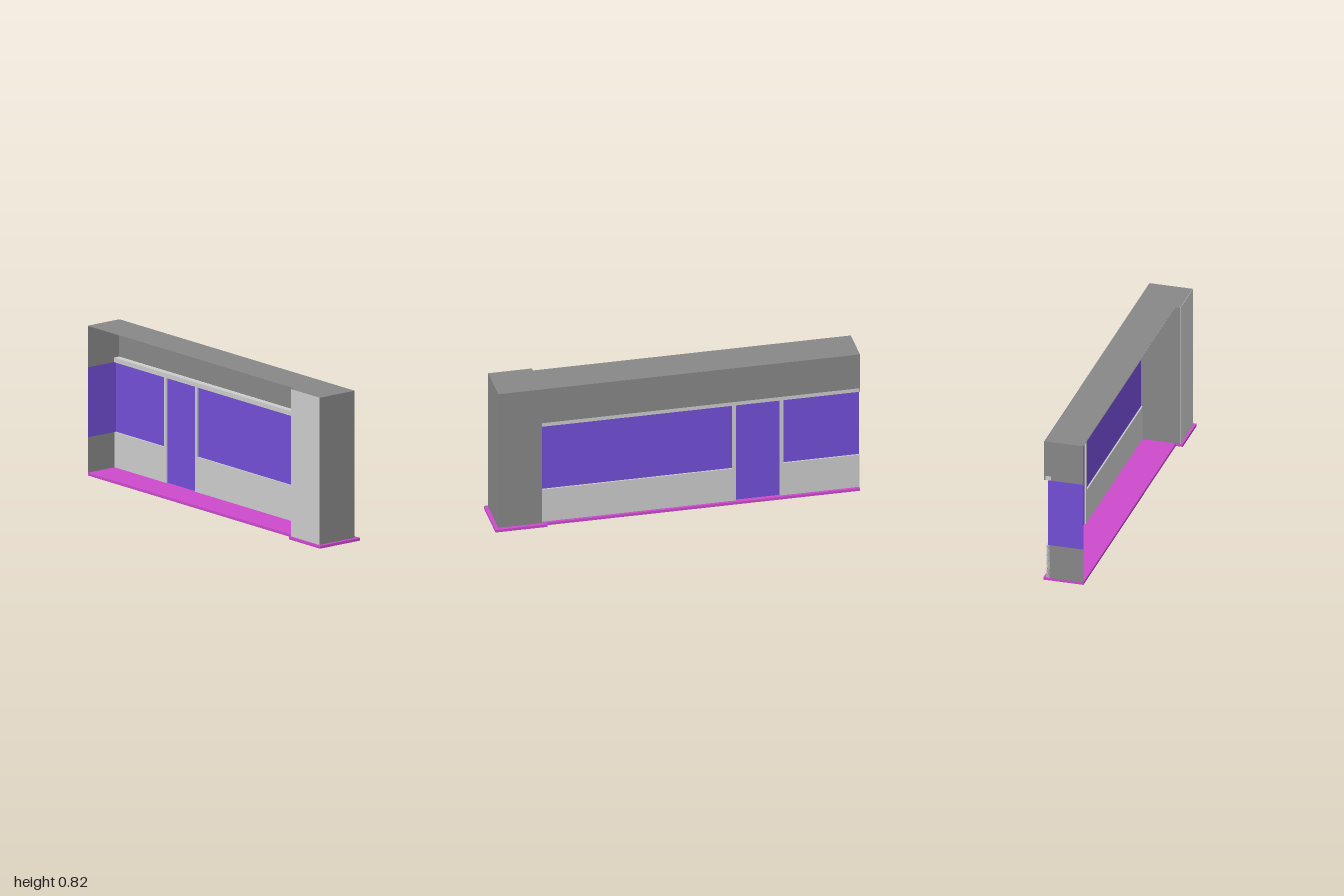
import * as THREE from 'three';

export function createModel() {
  const model = new THREE.Group();
  const paint = (color) => new THREE.MeshStandardMaterial({ color, side: THREE.DoubleSide, flatShading: true });
  const light = paint(0xcccccc), dark = paint(0x878787), glass = paint(0x724ed6), floor = paint(0xcc4acc);

  const add = (name, geometry, material) => {
    const mesh = new THREE.Mesh(geometry, material);
    mesh.name = name;
    model.add(mesh);
    return mesh;
  };
  // box given by its limits on each axis
  const box = (name, [x0, x1], [y0, y1], [z0, z1], material) =>
    add(name, new THREE.BoxGeometry(x1 - x0, y1 - y0, z1 - z0), material)
      .position.set((x0 + x1) / 2, (y0 + y1) / 2, (z0 + z1) / 2);
  // thin sheet facing along x
  const endSheet = (name, x, [y0, y1], [z0, z1], material) => {
    const sheet = add(name, new THREE.PlaneGeometry(z1 - z0, y1 - y0), material);
    sheet.rotation.y = -Math.PI / 2;
    sheet.position.set(x, (y0 + y1) / 2, (z0 + z1) / 2);
  };
  const outline = (points) => new THREE.Shape(points.map(([x, y]) => new THREE.Vector2(x, y)));

  const left = -1, pillarX = 0.74, right = 0.98;
  const base = 0.015, sill = 0.21, head = 0.595, lintel = 0.62, top = 0.825;
  const back = -0.118, front = 0.1, pillarFront = 0.125;

  // Floor slab, wider under the pillar (shape y is -z)
  const slab = outline([
    [left, -front], [pillarX, -front], [pillarX, -0.138], [1, -0.138],
    [1, 0.14], [0.715, 0.14], [0.715, 0.122], [left, 0.122],
  ]);
  const slabGeometry = new THREE.ExtrudeGeometry(slab, { depth: base, bevelEnabled: false });
  slabGeometry.rotateX(-Math.PI / 2);
  add('floorSlab', slabGeometry, floor);

  // Pillar with a lighter front panel
  box('pillar', [pillarX, right], [base, top], [back, pillarFront - 0.002], dark);
  box('pillarFrontPanel', [pillarX, right], [base, top], [pillarFront - 0.002, pillarFront], light);

  // Thin roof and fascia, open towards the front
  box('roof', [left, pillarX], [top - 0.002, top], [back, front], dark);
  box('fascia', [left, pillarX], [lintel, top - 0.002], [back, back + 0.002], dark);

  // Shopfront frame: low wall and posts around two windows and a door
  const frame = outline([
    [left, base], [-0.565, base], [-0.565, head], [-0.585, head], [-0.585, sill], [left, sill],
  ]);
  const frameRight = outline([
    [-0.325, base], [pillarX, base], [pillarX, sill], [-0.305, sill], [-0.305, head], [-0.325, head],
  ]);
  for (const [name, shape] of [['frameBesideSmallWindow', frame], ['frameBesideLargeWindow', frameRight]]) {
    const geometry = new THREE.ExtrudeGeometry(shape, { depth: 0.02, bevelEnabled: false });
    geometry.translate(0, 0, -0.105);
    add(name, geometry, light);
  }
  box('lintelRail', [left, pillarX], [head, lintel], [-0.112, -0.08], light);

  // Glazing set in the middle of the frame
  const panes = [
    ['smallWindow', [left, -0.585], sill],
    ['door', [-0.565, -0.325], base],
    ['largeWindow', [-0.305, pillarX], sill],
  ];
  for (const [name, span, bottom] of panes) box(name, span, [bottom, head], [-0.096, -0.094], glass);

  // End wall with a band of glass
  endSheet('endWallLower', left, [base, sill], [-0.105, front], dark);
  endSheet('endWindow', left, [sill, head], [-0.095, front], glass);
  endSheet('endWallUpper', left, [head, top], [back, front], dark);

  return model;
}
